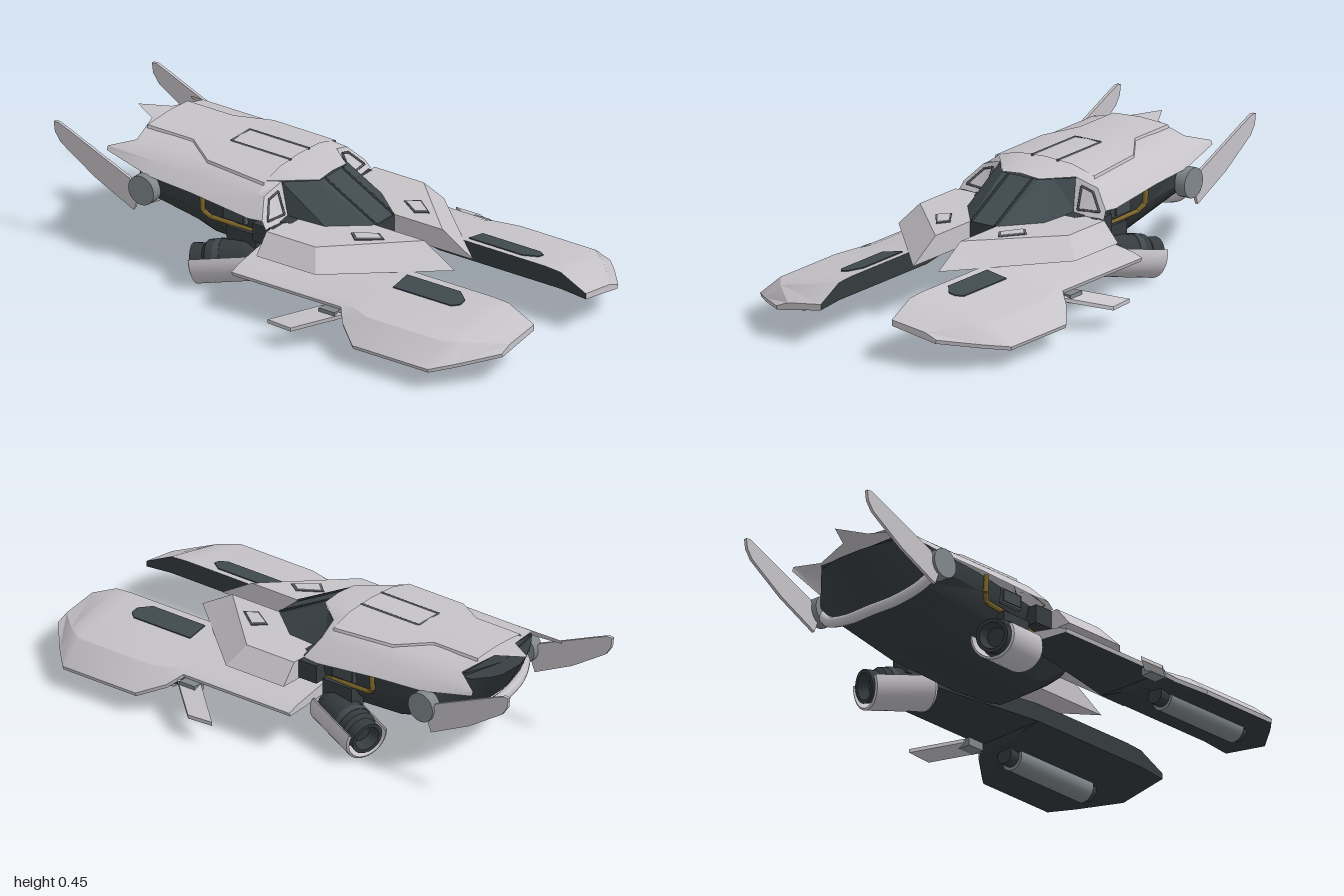
import * as THREE from 'three';
import { toCreasedNormals } from 'three/addons/utils/BufferGeometryUtils.js';

const paint = (name, color) => {
  const m = new THREE.MeshStandardMaterial({ color, side: THREE.DoubleSide });
  m.name = name;
  return m;
};

export function createModel() {
  const light = paint('paleHull', 0xc6c3c8);
  const dark = paint('darkHull', 0x353b3e);
  const glass = paint('darkGlass', 0x404a4e);
  const steel = paint('steel', 0x80878b);
  const trim = paint('panelGap', 0x5c5e62);
  const gold = paint('goldTrim', 0x80692c);

  const root = new THREE.Group();
  root.name = 'hoverCraft';
  const half = new THREE.Group(); // everything mirrored left to right
  half.name = 'leftSide';

  const add = (parent, name, geo, mat) => {
    const m = new THREE.Mesh(geo, mat);
    m.name = name;
    parent.add(m);
    return m;
  };

  // Surface through rows of [x, y, z] points
  const loft = (rows, closed = false, crease = 0.5) => {
    const n = rows[0].length, idx = [];
    for (let r = 0; r < rows.length - 1; r++) {
      for (let c = 0; c < (closed ? n : n - 1); c++) {
        const a = r * n + c, b = r * n + (c + 1) % n;
        idx.push(a, b, a + n, b, b + n, a + n);
      }
    }
    const g = new THREE.BufferGeometry();
    g.setAttribute('position', new THREE.Float32BufferAttribute(rows.flat(2), 3));
    g.setIndex(idx);
    return toCreasedNormals(g, crease);
  };
  const mirrorRow = row => [...row.slice(1).reverse().map(([x, y, z]) => [-x, y, z]), ...row];
  const pinch = row => { // collapse a ring to its middle to cap a loft
    const c = [0, 1, 2].map(k => row.reduce((s, p) => s + p[k], 0) / row.length);
    return row.map(() => c);
  };

  // Plate with outline [x, z], lying on the height rule f(x, z)
  const plate = (outline, f, t) => {
    const s = new THREE.Shape(outline.map(([x, z]) => new THREE.Vector2(x, -z)));
    const g = new THREE.ExtrudeGeometry(s, { depth: 1, bevelEnabled: false });
    const p = g.attributes.position;
    for (let i = 0; i < p.count; i++) {
      const x = p.getX(i), z = -p.getY(i);
      p.setXYZ(i, x, f(x, z) + (p.getZ(i) - 1) * t, z);
    }
    g.computeVertexNormals();
    return g;
  };

  // Thin rods joining a run of points
  const rods = (parent, name, pts, r, mat) => {
    for (let i = 0; i < pts.length - 1; i++) {
      const a = new THREE.Vector3(...pts[i]), b = new THREE.Vector3(...pts[i + 1]);
      const d = b.clone().sub(a);
      const m = add(parent, name, new THREE.CylinderGeometry(r, r, d.length(), 6), mat);
      m.position.copy(a).add(b).multiplyScalar(0.5);
      m.quaternion.setFromUnitVectors(new THREE.Vector3(0, 1, 0), d.normalize());
    }
  };
  const box = (name, w, h, d, x, y, z, mat) =>
    add(half, name, new THREE.BoxGeometry(w, h, d), mat).position.set(x, y, z);

  // Dark lower body
  const ring = (z, pts, bulge = 0) => {
    const right = pts.map(([x, y]) => [x, y, z + bulge * x * x]);
    return [...right, ...right.map(([x, y, w]) => [-x, y, w]).reverse()];
  };
  const body = [
    ring(0.235, [[0.055, 0.295], [0.055, 0.26], [0.055, 0.23], [0.052, 0.21], [0.04, 0.205]]),
    ring(0.19, [[0.1, 0.293], [0.13, 0.25], [0.16, 0.2], [0.11, 0.175], [0.05, 0.165]]),
    ring(0.07, [[0.18, 0.29], [0.19, 0.25], [0.19, 0.2], [0.13, 0.115], [0.06, 0.085]]),
    ring(-0.1, [[0.26, 0.3], [0.25, 0.25], [0.22, 0.19], [0.14, 0.11], [0.06, 0.085]]),
    ring(-0.4, [[0.275, 0.335], [0.27, 0.27], [0.23, 0.2], [0.15, 0.13], [0.07, 0.107]]),
    ring(-0.64, [[0.265, 0.36], [0.27, 0.29], [0.22, 0.235], [0.14, 0.2], [0.07, 0.195]]),
    ring(-0.78, [[0.2, 0.41], [0.2, 0.4], [0.17, 0.385], [0.1, 0.375], [0.05, 0.37]], 1.8),
  ];
  add(root, 'lowerBody', loft([pinch(body[0]), ...body, pinch(body[6])], true), dark);

  // Pale roof shell with a scalloped tail
  const span = (z, edge) => [[0, 0.443, z], [0.11, 0.438, z], [0.2, 0.42, z], [0.25, 0.385, z], [...edge, z]];
  add(root, 'roof', loft([
    [[0, 0.425, 0.005], [0.08, 0.418, 0.005], [0.165, 0.415, -0.1], [0.25, 0.385, -0.115], [0.31, 0.32, -0.08]],
    span(-0.14, [0.312, 0.315]),
    span(-0.4, [0.297, 0.335]),
    span(-0.6, [0.286, 0.342]),
    [[0, 0.443, -0.85], [0.06, 0.44, -0.745], [0.2, 0.42, -0.71], [0.25, 0.39, -0.8], [0.256, 0.375, -0.8]],
  ].map(mirrorRow)), light);

  // Raised roof panel and its slot outline
  const roofY = x => x < 0.11 ? 0.443 - x * 0.045 : x < 0.2 ? 0.438 - (x - 0.11) * 0.2 : 0.42 - (x - 0.2) * 0.7;
  add(root, 'roofPanel', loft([[-0.14, 0.215], [-0.4, 0.2], [-0.52, 0.12], [-0.72, 0.12]].map(([z, w]) =>
    mirrorRow([[0, 0.451, z], [w * 0.55, roofY(w * 0.55) + 0.008, z], [w, roofY(w) + 0.008, z],
      [w + 0.004, roofY(w + 0.004) - 0.002, z]]))), light);
  rods(root, 'roofSlot', [[0.056, 0.447, -0.14], [0.056, 0.447, -0.4], [-0.056, 0.447, -0.4], [-0.056, 0.447, -0.14]], 0.005, trim);

  // Canopy glass with mullions
  add(root, 'canopy', loft([
    [[0.06, 0.29, 0.235], [0.17, 0.29, 0.1], [0.182, 0.29, -0.07]],
    [[0.08, 0.416, 0.005], [0.115, 0.416, -0.035], [0.165, 0.413, -0.1]],
  ].map(row => [...row.map(([x, y, z]) => [-x, y, z]).reverse(), ...row]), false, 0.3), glass);
  rods(half, 'mullion', [[0.052, 0.297, 0.232], [0.052, 0.416, 0.008]], 0.004, dark);

  // Cheek panels beside the canopy
  add(half, 'cheek', loft([
    [[0.165, 0.415, -0.1], [0.25, 0.385, -0.115], [0.31, 0.32, -0.08]],
    [[0.182, 0.293, -0.06], [0.245, 0.293, -0.05], [0.316, 0.293, -0.06]],
  ]), light);
  rods(half, 'cheekGap', [[0.193, 0.388, -0.095], [0.238, 0.372, -0.102], [0.29, 0.315, -0.069],
    [0.2, 0.31, -0.062], [0.193, 0.388, -0.095]], 0.004, trim);

  // Upper shoulder deck with bevelled rim
  const deckLow = [[0.055, 0.215, 0.58], [0.386, 0.222, 0.21], [0.386, 0.222, -0.05], [0.055, 0.215, -0.05]];
  const deckTop = [[0.055, 0.295, 0.445], [0.325, 0.295, 0.165], [0.325, 0.295, -0.05], [0.055, 0.295, -0.05]];
  add(half, 'shoulderDeck', loft([pinch(deckLow), deckLow, deckTop, pinch(deckTop)], true, 0.2), light);
  box('deckRearBlock', 0.1, 0.07, 0.09, 0.25, 0.26, -0.085, dark);
  const hatch = [[0.16, 0.2], [0.2, 0.245], [0.135, 0.33], [0.105, 0.285]];
  const shrink = hatch.map(([x, z]) => [0.15 + (x - 0.15) * 0.82, 0.265 + (z - 0.265) * 0.85]);
  add(half, 'hatchGap', plate(hatch, () => 0.298, 0.004), trim);
  add(half, 'hatch', plate(shrink, () => 0.301, 0.005), light);

  // Long front pod: z, inner x, inner y, ridge x, ridge y, outer x, outer y, lower inner y
  const pod = [
    [-0.12, 0.24, 0.205, 0.4, 0.175, 0.44, 0.16, 0.16],
    [0.36, 0.155, 0.22, 0.4, 0.175, 0.44, 0.16, 0.15],
    [0.4, 0.155, 0.22, 0.43, 0.17, 0.485, 0.125, 0.15],
    [0.49, 0.155, 0.22, 0.46, 0.164, 0.55, 0.088, 0.15],
    [0.82, 0.155, 0.22, 0.46, 0.164, 0.55, 0.088, 0.15],
    [0.89, 0.155, 0.215, 0.41, 0.16, 0.478, 0.1, 0.15],
    [1, 0.155, 0.162, 0.3, 0.142, 0.35, 0.122, 0.14],
  ];
  const podTop = pod.map(([z, xi, yi, xr, yr, xo, yo]) => [[xi, yi, z], [xr, yr, z], [xo, yo, z], [xo - 0.005, yo - 0.014, z]]);
  const podLow = pod.map(([z, xi, yi, , , xo, yo, yl]) => [[xo - 0.005, yo - 0.014, z], [xi, yl, z], [xi, yi, z]]);
  add(half, 'podTop', loft(podTop), light);
  add(half, 'podUnderside', loft(podLow), dark);
  for (const i of [0, 6]) {
    const end = [...podTop[i], podLow[i][1]];
    add(half, 'podEnd', loft([end, pinch(end)], true), light);
  }
  const podY = x => 0.22 - (x - 0.155) * 0.184;
  const vent = [[0.185, 0.465], [0.27, 0.465], [0.27, 0.72], [0.25, 0.745], [0.22, 0.745], [0.185, 0.7]];
  add(half, 'podVent', plate(vent, x => podY(x) + 0.004, 0.006), glass);

  // Gun barrel slung under the pod
  [[0.047, 0.37, 0.635], [0.034, 0.44, 0.63]].forEach(([r, len, z], i) => {
    const g = new THREE.CylinderGeometry(r, r, len, 20).rotateX(Math.PI / 2);
    add(half, i ? 'barrelCore' : 'barrel', g, i ? dark : steel).position.set(0.367, 0.103, z);
  });

  // Small side winglet
  add(half, 'winglet', plate([[0.44, 0.28], [0.566, 0.13], [0.571, 0.235], [0.45, 0.38]],
    x => 0.145 - (x - 0.44) * 0.4, 0.014), light);
  box('wingletRoot', 0.05, 0.03, 0.07, 0.445, 0.132, 0.32, steel);

  // Splayed engine with a part-round cowl
  const engine = new THREE.Group();
  engine.name = 'engine';
  engine.position.set(0.272, 0.114, -0.25);
  engine.quaternion.setFromUnitVectors(new THREE.Vector3(0, 1, 0), new THREE.Vector3(0.085, -0.055, -0.26).normalize());
  half.add(engine);
  const prof = (...p) => p.map(([x, y]) => new THREE.Vector2(x, y));
  add(engine, 'cowl', toCreasedNormals(new THREE.LatheGeometry(
    prof([0.074, -0.13], [0.086, -0.115], [0.086, 0.125], [0.077, 0.13], [0.074, -0.13]), 20, 0.85, 3.7), 0.5), light);
  add(engine, 'engineCore', toCreasedNormals(new THREE.LatheGeometry(
    prof([0, -0.12], [0.05, -0.12], [0.07, -0.08], [0.07, 0.07], [0.058, 0.085], [0.062, 0.13], [0.048, 0.13], [0.035, 0.09], [0, 0.09]), 24), 0.5), dark);
  add(engine, 'engineRing', new THREE.CylinderGeometry(0.072, 0.072, 0.025, 24), glass).position.y = 0.03;
  box('enginePylon', 0.07, 0.09, 0.13, 0.235, 0.19, -0.2, dark);

  // Tail fin, hinge and lower tail band
  const finShape = new THREE.Shape([[-0.65, 0.2], [-0.63, 0.25], [-0.67, 0.32], [-0.93, 0.43], [-0.98, 0.45],
    [-1, 0.448], [-0.995, 0.41], [-0.97, 0.375], [-0.82, 0.28]].map(p => new THREE.Vector2(...p)));
  add(half, 'tailFin', new THREE.ExtrudeGeometry(finShape, { depth: 0.012, bevelEnabled: false }).rotateY(-Math.PI / 2), light).position.x = 0.301;
  add(half, 'finHinge', new THREE.CylinderGeometry(0.056, 0.056, 0.045, 20).rotateZ(Math.PI / 2), steel).position.set(0.289, 0.29, -0.61);
  const band = [[0.28, 0.27, -0.62], [0.22, 0.218, -0.645], [0.12, 0.19, -0.66], [0, 0.187, -0.665],
    [-0.12, 0.19, -0.66], [-0.22, 0.218, -0.645], [-0.28, 0.27, -0.62]].map(p => new THREE.Vector3(...p));
  add(root, 'tailBand', new THREE.TubeGeometry(new THREE.CatmullRomCurve3(band), 32, 0.02, 8), light);

  // Side window and gold pipe on the body
  box('windowFrame', 0.02, 0.056, 0.1, 0.265, 0.29, -0.23, trim);
  box('sideWindow', 0.02, 0.044, 0.088, 0.27, 0.29, -0.23, glass);
  rods(half, 'goldPipe', [[0.24, 0.21, -0.08], [0.245, 0.235, -0.16], [0.258, 0.245, -0.34],
    [0.275, 0.27, -0.365], [0.28, 0.335, -0.365]], 0.01, gold);

  const other = half.clone();
  other.name = 'rightSide';
  other.scale.x = -1;
  root.add(half, other);
  return root;
}
